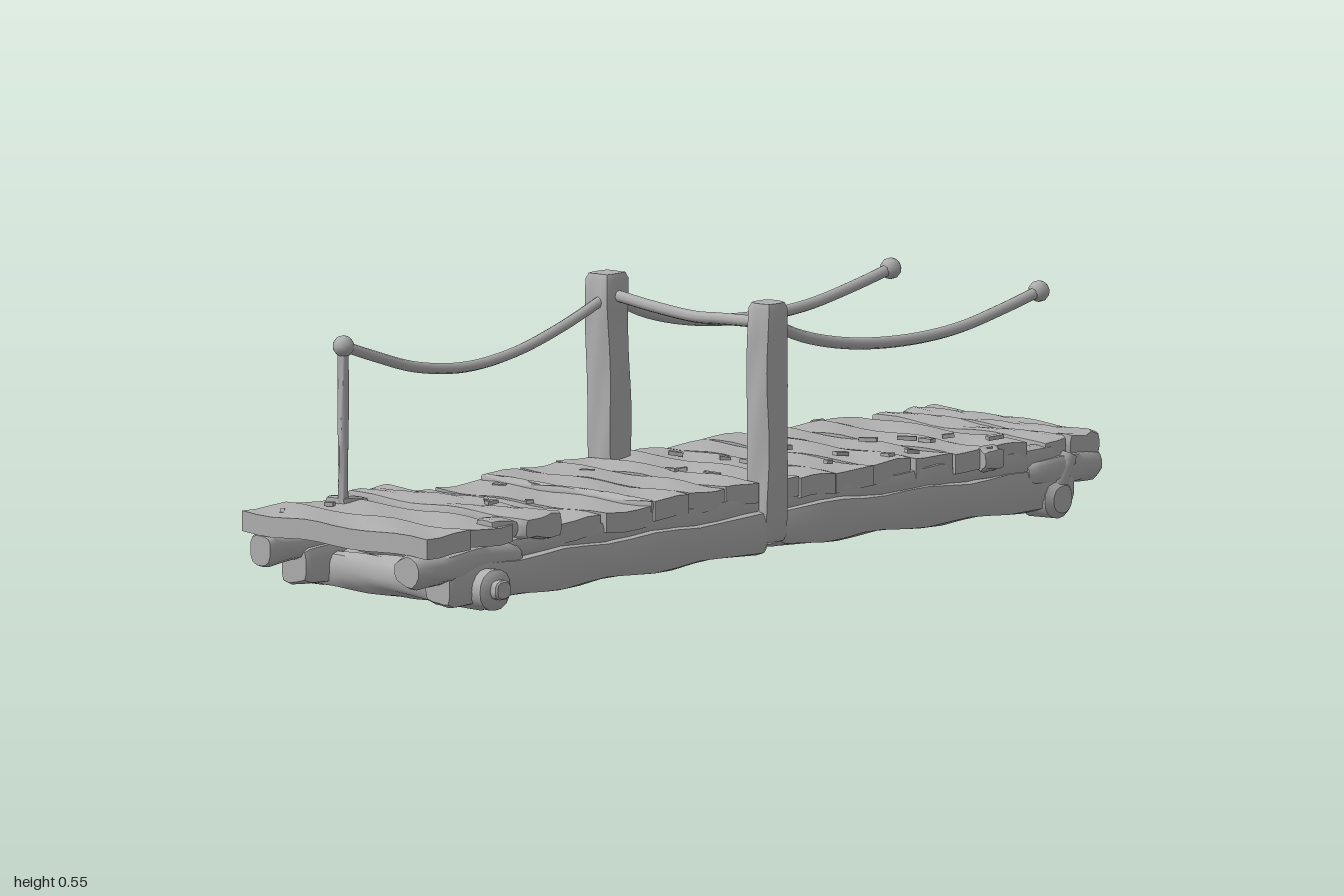
import * as THREE from 'three';
import { toCreasedNormals } from 'three/addons/utils/BufferGeometryUtils.js';

export function createModel() {
  const model = new THREE.Group();
  model.name = 'ropeBridge';
  const wood = new THREE.MeshStandardMaterial({ color: 0xb0b0b0 });
  wood.name = 'weatheredGrey';

  let seed = 7;
  const rnd = () => {
    seed = (seed * 16807) % 2147483647;
    return seed / 2147483647;
  };
  const vec = (p) => new THREE.Vector3(...p);

  function add(name, geo, parent = model) {
    const mesh = new THREE.Mesh(geo, wood);
    mesh.name = name;
    parent.add(mesh);
    return mesh;
  }
  function group(name) {
    const g = new THREE.Group();
    g.name = name;
    model.add(g);
    return g;
  }

  // Hewn timber between two points: width w (sideways), height h, squareness
  // k (2 = round, 8 = boxy), gently wobbling along its length.
  function timber(name, from, to, w, h, { k = 5, wobble = 0.004, round = 0.85, parent = model } = {}) {
    const a = vec(from), b = vec(to);
    const dir = b.clone().sub(a), len = dir.length();
    dir.normalize();
    const ref = Math.abs(dir.y) > 0.9 ? new THREE.Vector3(1, 0, 0) : new THREE.Vector3(0, 1, 0);
    const side = new THREE.Vector3().crossVectors(dir, ref).normalize();
    const up = new THREE.Vector3().crossVectors(side, dir);
    const geo = new THREE.CylinderGeometry(1, 1, 1, 16, 14);
    const p = geo.attributes.position;
    const s1 = rnd() * 6, s2 = rnd() * 6, s3 = rnd() * 6;
    const inset = Math.min(0.012, len * 0.15);
    for (let i = 0; i < p.count; i++) {
      const x = p.getX(i), z = p.getZ(i), t = p.getY(i) + 0.5;
      const r = Math.hypot(x, z);
      const ca = r ? x / r : 0, sa = r ? z / r : 0;
      const sq = r / Math.pow(Math.abs(ca) ** k + Math.abs(sa) ** k || 1, 1 / k);
      // end rings shrink for worn ends; the next rings sit just inside them
      const end = t < 0.01 || t > 0.99;
      let d = t * len;
      if (Math.abs(t - 1 / 14) < 0.01) d = inset;
      if (Math.abs(t - 13 / 14) < 0.01) d = len - inset;
      const f = sq * (end ? round : 1);
      const u = ca * f * w / 2 + wobble * Math.sin(d * 17 + s1 + ca) * r;
      const v = sa * f * h / 2 + wobble * Math.sin(d * 23 + s2 + sa * 2 + s3 * ca) * r;
      const q = a.clone().addScaledVector(dir, d).addScaledVector(side, u).addScaledVector(up, v);
      p.setXYZ(i, q.x, q.y, q.z);
    }
    // keep faces outward whatever the frame's handedness
    const index = geo.index.array;
    if (new THREE.Vector3().crossVectors(dir, up).dot(side) < 0) {
      for (let i = 0; i < index.length; i += 3) [index[i], index[i + 1]] = [index[i + 1], index[i]];
    }
    return add(name, toCreasedNormals(geo, 0.7), parent);
  }

  // Deck board lying across the bridge, x0..x1 wide, z0..z1 long
  function board(parent, x0, x1, y0, y1, z0, z1) {
    const geo = new THREE.BoxGeometry(x1 - x0, y1 - y0, z1 - z0, 3, 1, 12);
    const p = geo.attributes.position;
    const s = rnd() * 6, tilt = (rnd() - 0.5) * 0.008;
    for (let i = 0; i < p.count; i++) {
      const x = p.getX(i), y = p.getY(i), z = p.getZ(i);
      p.setX(i, x + 0.002 * Math.sin(z * 40 + s));
      p.setY(i, y + 0.003 * Math.sin(z * 26 + x * 30 + s) + tilt * x / (x1 - x0));
      p.setZ(i, z + 0.005 * Math.sin(x * 45 + s * 2));
    }
    geo.translate((x0 + x1) / 2, (y0 + y1) / 2, (z0 + z1) / 2);
    return add('plank', toCreasedNormals(geo, 0.6), parent);
  }

  // Main deck
  const deck = group('deck');
  const seams = [-0.575, -0.45, -0.31, -0.2, -0.09, 0.0, 0.11, 0.22, 0.33, 0.45, 0.56, 0.67, 0.78];
  for (let i = 0; i < seams.length - 1; i++) {
    const top = (i < 2 ? 0.167 : 0.178 - 0.001 * i) + (rnd() - 0.5) * 0.006;
    board(deck, seams[i] + 0.002, seams[i + 1] - 0.002, top - 0.04, top,
      -0.232 - rnd() * 0.01, 0.222 + rnd() * 0.012);
  }
  timber('raisedPlank', [-0.64, 0.167, -0.245], [-0.64, 0.167, 0.24], 0.125, 0.05, { k: 7, parent: deck });
  timber('seamBatten', [-0.31, 0.166, -0.23], [-0.31, 0.166, 0.23], 0.02, 0.024, { k: 3, parent: deck });

  // End landings
  const leftEnd = group('rightLanding');
  board(leftEnd, -0.995, -0.865, 0.145, 0.186, -0.255, 0.25);
  board(leftEnd, -0.862, -0.725, 0.147, 0.182, -0.245, 0.24);
  const rightEnd = group('leftLanding');
  timber('endPlank', [0.945, 0.137, -0.235], [0.945, 0.137, 0.225], 0.1, 0.052, { k: 7, parent: rightEnd });
  timber('endPlank', [0.86, 0.14, -0.243], [0.86, 0.14, 0.225], 0.078, 0.045, { k: 7, parent: rightEnd });

  // Bearers under the deck, mirrored front and back
  const frame = group('frame');
  for (const s of [-1, 1]) {
    timber('bearer', [-0.9, 0.072, s * 0.195], [0.015, 0.075, s * 0.2], 0.085, 0.085, { parent: frame });
    timber('bearer', [0.055, 0.08, s * 0.2], [0.91, 0.06, s * 0.19], 0.085, 0.085, { parent: frame });
    timber('sideRail', [-0.72, 0.128, s * 0.198], [0.86, 0.122, s * 0.198], 0.055, 0.05, { parent: frame });
    timber('landingStub', [-0.995, 0.112, s * 0.2], [-0.69, 0.112, s * 0.2], 0.07, 0.065, { k: 3, parent: frame });
    timber('landingStub', [0.78, 0.098, s * 0.2], [0.995, 0.096, s * 0.2], 0.07, 0.06, { k: 3, parent: frame });
    timber('logCollar', [0.855, 0.04, s * 0.16], [0.865, 0.04, s * 0.243], 0.09, 0.078,
      { k: 2.3, round: 0.7, wobble: 0.001, parent: frame });
    timber('logCollar', [-0.8, 0.06, s * 0.2], [-0.8, 0.06, s * 0.268], 0.088, 0.084,
      { k: 2.3, round: 0.7, wobble: 0.001, parent: frame });
    timber('logPeg', [-0.8, 0.062, s * 0.26], [-0.8, 0.062, s * 0.284], 0.045, 0.04,
      { k: 3, wobble: 0.001, parent: frame });
    timber('brace', [0.85, 0.03, s * 0.225], [0.9, 0.125, s * 0.22], 0.035, 0.045, { k: 3, parent: frame });
    timber('cornerBlock', [-0.775, 0.17, s * 0.205], [-0.7, 0.168, s * 0.205], 0.06, 0.042, { parent: frame });
    timber('deckCleat', [0.64, 0.145, s * 0.232], [0.69, 0.145, s * 0.232], 0.025, 0.045, { parent: frame });
  }
  timber('crossLog', [-0.8, 0.058, -0.25], [-0.8, 0.058, 0.25], 0.075, 0.075, { k: 2.5, parent: frame });
  timber('crossLog', [0.86, 0.052, -0.22], [0.86, 0.052, 0.22], 0.075, 0.078, { k: 2.5, parent: frame });

  // Loose chips and knots lying on the boards
  const chips = group('chips');
  for (let i = 0; i < 26; i++) {
    const x = -0.95 + 1.7 * rnd(), z = (rnd() - 0.5) * 0.38;
    const chip = add('chip', new THREE.BoxGeometry(0.02 + rnd() * 0.02, 0.008, 0.008 + rnd() * 0.01), chips);
    chip.position.set(x, x < -0.72 ? 0.184 : x < -0.575 ? 0.192 : x < -0.31 ? 0.168 : 0.176, z);
    chip.rotation.set(0, rnd() * 3, (rnd() - 0.5) * 0.3);
  }

  // Tall middle posts and the bar between them
  const posts = group('posts');
  timber('frontPost', [0.033, 0.055, 0.217], [0.035, 0.535, 0.217], 0.064, 0.064, { k: 6, wobble: 0.002, parent: posts });
  timber('backPost', [0.033, 0.055, -0.21], [0.035, 0.545, -0.222], 0.07, 0.066, { k: 6, wobble: 0.002, parent: posts });
  timber('thinPole', [-0.766, 0.16, -0.188], [-0.766, 0.5, -0.188], 0.02, 0.02, { k: 2.5, wobble: 0.001, parent: posts });

  // Ropes with a knot on each free end
  const ropes = group('ropes');
  function rope(name, points, radius, knot) {
    const curve = new THREE.CatmullRomCurve3(points.map(vec));
    add(name, new THREE.TubeGeometry(curve, 32, radius, 8), ropes);
    if (knot) {
      const end = add('ropeKnot', new THREE.IcosahedronGeometry(0.022, 1), ropes);
      end.position.copy(vec(points[points.length - 1]));
    }
  }
  rope('crossRope', [[0.035, 0.492, 0.2], [0.035, 0.487, 0.09], [0.035, 0.483, 0.02], [0.035, 0.49, -0.09], [0.035, 0.502, -0.2]], 0.012);
  rope('backLeftRope', [[0.02, 0.495, -0.215], [-0.1, 0.455, -0.212], [-0.25, 0.42, -0.206], [-0.4, 0.409, -0.2],
    [-0.55, 0.428, -0.194], [-0.67, 0.464, -0.19], [-0.766, 0.497, -0.187]], 0.011, true);
  for (const s of [-1, 1]) {
    rope(s > 0 ? 'frontRope' : 'backRope', [[0.05, 0.49, s * 0.21], [0.14, 0.453, s * 0.21], [0.28, 0.421, s * 0.208],
      [0.45, 0.407, s * 0.206], [0.6, 0.413, s * 0.205], [0.73, 0.435, s * 0.203], [0.838, 0.458, s * 0.202]], 0.012, true);
  }
  return model;
}
